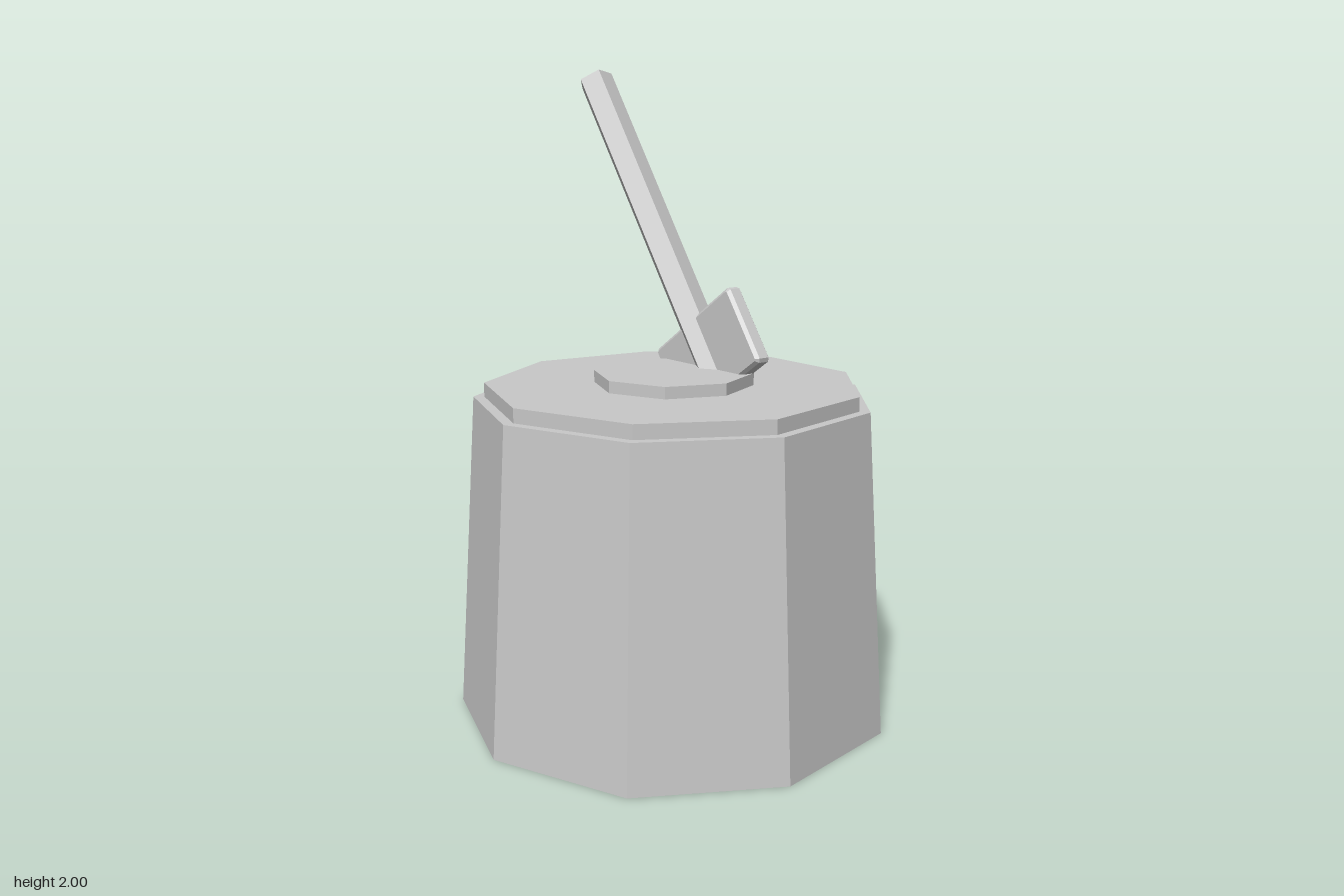
import * as THREE from 'three';

export function createModel() {
  const model = new THREE.Group();
  model.name = 'choppingBlockWithAxe';

  const grey = new THREE.MeshStandardMaterial({ color: 0xc8c8c8 });
  grey.name = 'plain grey';
  grey.flatShading = true;

  const add = (name, geometry, parent) => {
    const mesh = new THREE.Mesh(geometry, grey);
    mesh.name = name;
    parent.add(mesh);
    return mesh;
  };

  // Upright faceted disc standing on y = bottom, one corner facing the front
  const disc = (name, topRadius, baseRadius, bottom, top, sides) => {
    const geometry = new THREE.CylinderGeometry(topRadius, baseRadius, top - bottom, sides);
    add(name, geometry, model).position.set(0, (bottom + top) / 2, -0.021);
  };

  // Tree stump: tapered trunk, cut face and raised heartwood ring
  disc('trunk', 0.62, 0.6805, 0, 1.0, 9);
  disc('cutFace', 0.586, 0.586, 0.99, 1.044, 9);
  disc('heartwood', 0.247, 0.247, 1.03, 1.081, 8);

  // Axe, leaning to one side and sunk into the stump
  const axe = new THREE.Group();
  axe.name = 'axe';
  axe.position.set(0, 1.116, -0.174);
  axe.rotation.z = THREE.MathUtils.degToRad(34.7);
  model.add(axe);

  // Five-sided handle
  const handleTop = 1.044, handleBottom = -0.12;
  const handle = add('handle', new THREE.CylinderGeometry(0.0585, 0.0585, handleTop - handleBottom, 5), axe);
  handle.position.set(-0.013, (handleTop + handleBottom) / 2, 0);

  // Axe head: flat block with chamfered edges
  const bevel = 0.01, thickness = 0.056;
  const w = 0.428 / 2 - bevel, h = 0.258 / 2 - bevel, c = 0.004;
  const outline = new THREE.Shape([
    [-w + c, -h], [w - c, -h], [w, -h + c], [w, h - c],
    [w - c, h], [-w + c, h], [-w, h - c], [-w, -h + c],
  ].map(([x, y]) => new THREE.Vector2(x, y)));
  const headGeometry = new THREE.ExtrudeGeometry(outline, {
    depth: thickness - 2 * bevel,
    bevelEnabled: true,
    bevelSize: bevel,
    bevelThickness: bevel,
    bevelSegments: 1,
  });
  headGeometry.translate(0, 0, -thickness / 2 + bevel);
  add('axeHead', headGeometry, axe);

  return model;
}
